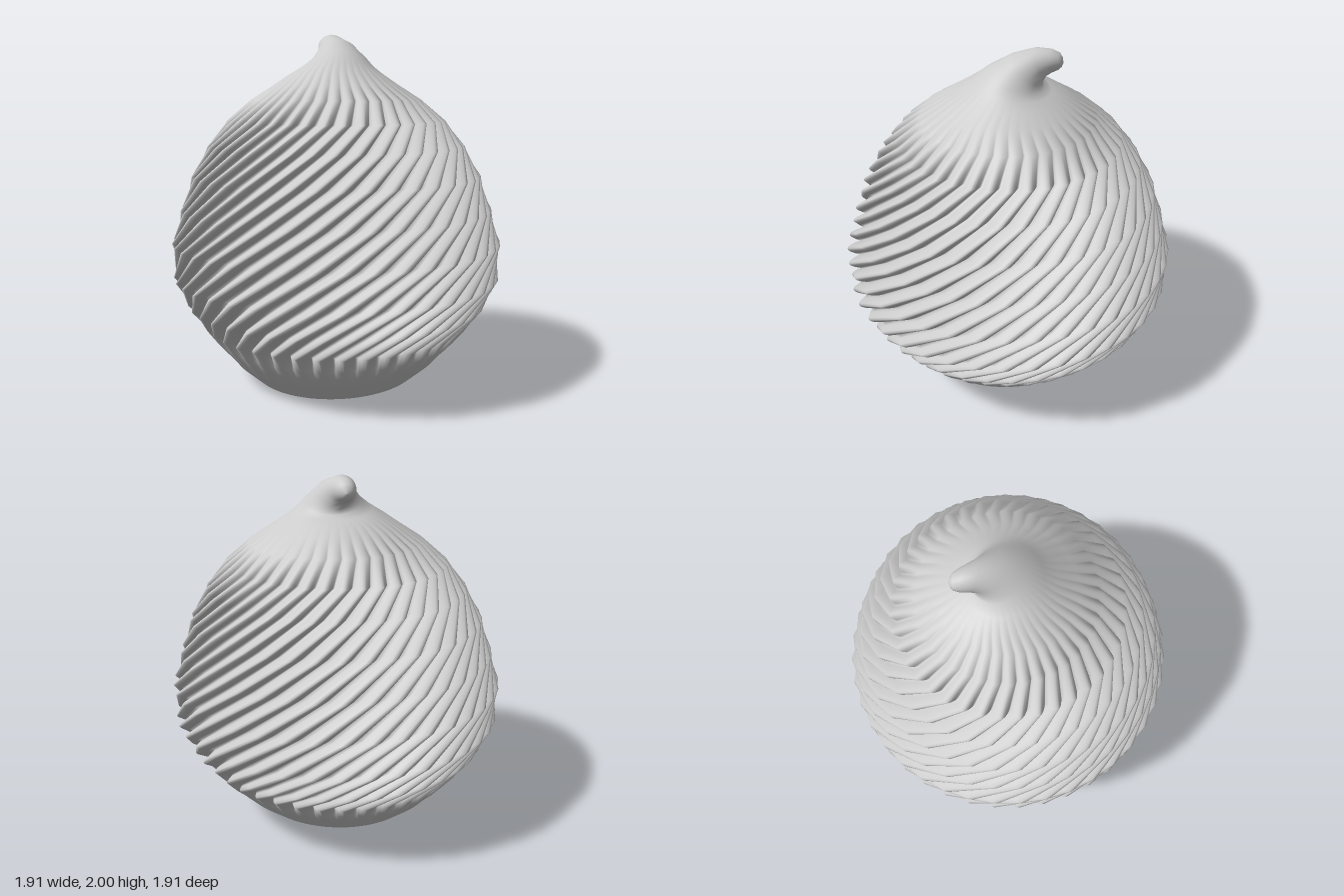
import * as THREE from 'three';

const { smoothstep, clamp } = THREE.MathUtils;
const RIDGES = 40, PER = 8, N = RIDGES * PER;

// Body outline: height, radius over the ridges
const BODY = [
  [0.025, 0.49], [0.12, 0.60], [0.20, 0.67], [0.25, 0.72], [0.33, 0.785],
  [0.45, 0.875], [0.61, 0.95], [0.81, 0.955], [1.00, 0.90], [1.19, 0.835],
  [1.36, 0.74], [1.50, 0.63], [1.62, 0.49], [1.70, 0.365],
];

// Curled tip: height, radius, centre x, centre z, backward tilt
const TIP = [
  [1.76, 0.275, 0, -0.02, 0.05],
  [1.80, 0.21, 0.01, -0.03, 0.15],
  [1.84, 0.16, 0.02, -0.045, 0.32],
  [1.89, 0.112, 0.005, -0.10, 0.7],
  [1.922, 0.08, -0.03, -0.17, 1.15],
  [1.925, 0.062, -0.05, -0.225, 1.5],
  [1.922, 0.045, -0.058, -0.262, 1.6],
  [1.918, 0.025, -0.06, -0.278, 1.6],
  [1.915, 0.0005, -0.06, -0.285, 1.6],
];

// Flat underside, from the middle out to the rim
const UNDERSIDE = [[0.012, 0.0005], [0.018, 0.30], BODY[0]];

// Joins the rings into one smooth skin, its edges following the twisted ridges
function skin(name, rings) {
  const pos = [], index = [];
  rings.forEach(([y, r, cx = 0, cz = 0, tilt = 0], i) => {
    const twist = 1.62 * clamp(y - 0.33, 0, 1.22);
    // ridges rise above the plain foot and die out towards the tip, sooner on one side
    const depth = 0.07 * smoothstep(y, 0.18, 0.36) * (1 - smoothstep(y, 1.4, 1.82));
    const fade = smoothstep(y, 1.4, 1.7);
    const lean = Math.max(0, 1 - y / 0.4); // the base sits slightly askew
    for (let j = 0; j < N; j++) {
      const a = (j / N) * Math.PI * 2 + twist;
      const rib = Math.abs(Math.sin((j / PER) * Math.PI));
      const weight = 1 - fade * (0.5 - 0.5 * Math.cos(a + Math.PI / 4));
      const rad = r - depth * weight * (1 - rib);
      const x = rad * Math.sin(a), z = rad * Math.cos(a);
      pos.push(
        cx + x,
        y + z * Math.sin(tilt) + lean * (0.03 * x - 0.05 * z),
        cz + z * Math.cos(tilt)
      );
      if (i < rings.length - 1) {
        const p = i * N + j, q = i * N + ((j + 1) % N);
        index.push(p, q, p + N, q, q + N, p + N);
      }
    }
  });
  const geo = new THREE.BufferGeometry();
  geo.setAttribute('position', new THREE.Float32BufferAttribute(pos, 3));
  geo.setIndex(index);
  geo.computeVertexNormals();
  const mesh = new THREE.Mesh(geo, new THREE.MeshStandardMaterial({ color: 0xcccccc }));
  mesh.name = name;
  return mesh;
}

export function createModel() {
  const group = new THREE.Group();
  group.name = 'swirledDollop';
  group.add(skin('ridgedBodyWithCurledTip', [...BODY, ...TIP]), skin('underside', UNDERSIDE));
  return group;
}
